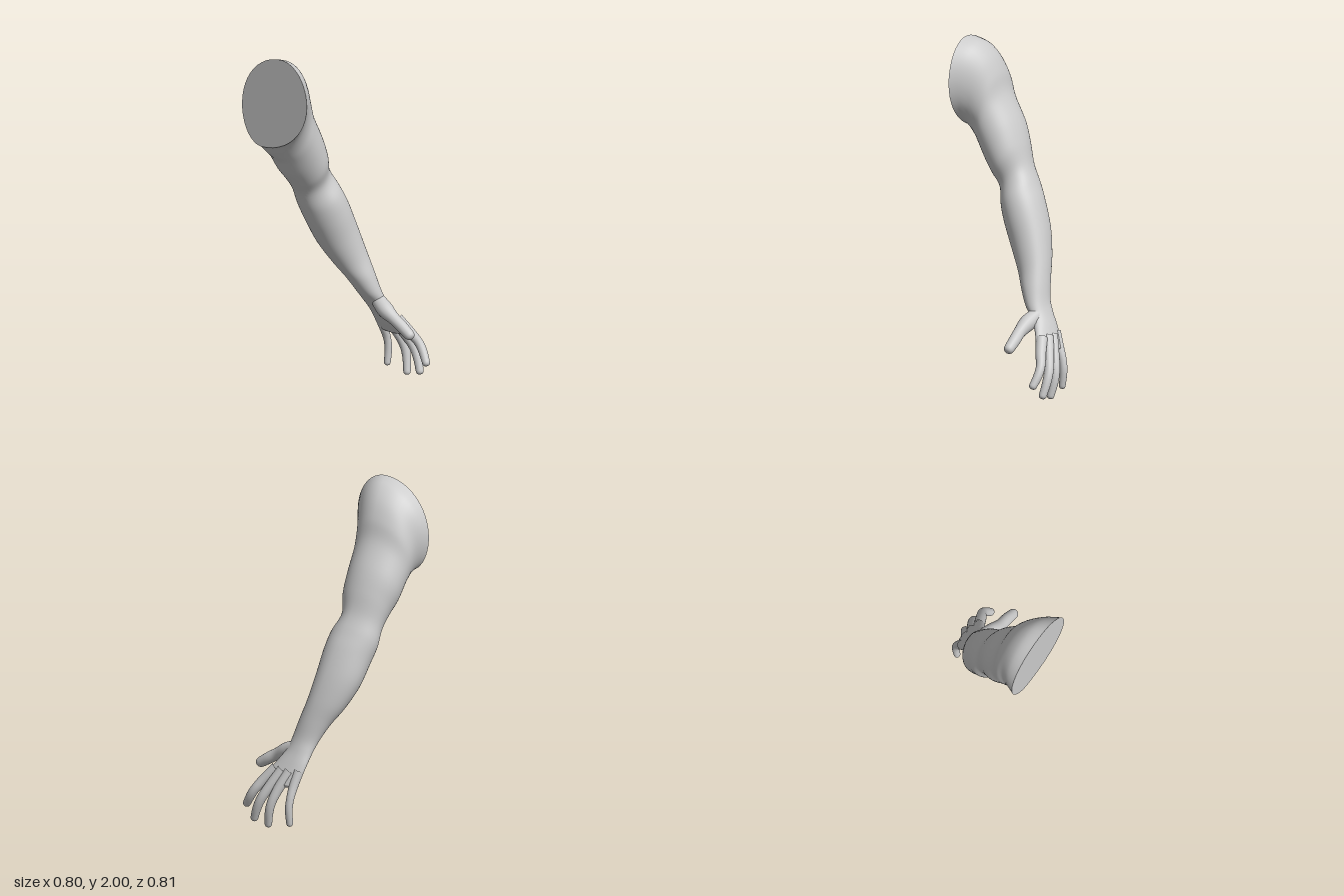
import * as THREE from 'three';

const SIDES = 48;
const skin = new THREE.MeshStandardMaterial({ color: 0xcccccc });

// Smooth interpolation through equally spaced rows of numbers
function sampleRows(rows, t) {
  const f = t * (rows.length - 1);
  const i = Math.min(Math.floor(f), rows.length - 2);
  const k = f - i;
  const row = (n) => rows[Math.max(0, Math.min(rows.length - 1, n))];
  return rows[i].map((p1, c) => {
    const p0 = row(i - 1)[c], p2 = row(i + 1)[c], p3 = row(i + 2)[c];
    return 0.5 * (2 * p1 + (p2 - p0) * k + (2 * p0 - 5 * p1 + 4 * p2 - p3) * k * k
      + (3 * p1 - p0 - 3 * p2 + p3) * k * k * k);
  });
}

// Skin a list of closed rings; the far end closes on a point
function loft(rings, tip) {
  const n = rings[0].length;
  const positions = rings.flat().concat(tip).flatMap((p) => [p.x, p.y, p.z]);
  const index = [];
  for (let r = 0; r < rings.length - 1; r++) {
    for (let i = 0; i < n; i++) {
      const j = (i + 1) % n, a = r * n, b = a + n;
      index.push(a + i, a + j, b + i, a + j, b + j, b + i);
    }
  }
  const last = (rings.length - 1) * n;
  for (let i = 0; i < n; i++) index.push(rings.length * n, last + i, last + (i + 1) % n);
  const geometry = new THREE.BufferGeometry();
  geometry.setAttribute('position', new THREE.Float32BufferAttribute(positions, 3));
  geometry.setIndex(index);
  geometry.computeVertexNormals();
  return geometry;
}

function addMesh(group, name, geometry) {
  const mesh = new THREE.Mesh(geometry, skin);
  mesh.name = name;
  group.add(mesh);
  return mesh;
}

// Cross-section: four quarter ellipses between the outer, front, inner and back extremes
function limbRing([xo, yo, xi, yi, zo, zi, zf, zb, uf, ub]) {
  const ring = [];
  for (let i = 0; i < SIDES; i++) {
    const a = (i / SIDES) * Math.PI * 2;
    const c = Math.cos(a), s = Math.sin(a);
    const wide = s >= 0 ? uf : ub;
    const u = c >= 0 ? wide * (1 - c) : wide - c * (1 - wide);
    const zEnd = c >= 0 ? zo : zi;
    const z = zEnd + ((s >= 0 ? zf : zb) - zEnd) * Math.abs(s);
    ring.push(new THREE.Vector3(xo + (xi - xo) * u, yo + (yi - yo) * u, z));
  }
  return ring;
}

// Tapered, round-tipped digit; each row is x, y, z, radius
function digit(rows) {
  const steps = 36, sides = 20, rings = [];
  const at = (t) => sampleRows(rows, t);
  const end = new THREE.Vector3(...at(1));
  const length = end.distanceTo(new THREE.Vector3(...at(0)));
  for (let s = 0; s < steps; s++) {
    const t = 1 - Math.pow(1 - s / steps, 1.6);
    const [x, y, z, r0] = at(t);
    const p = new THREE.Vector3(x, y, z);
    const dir = new THREE.Vector3(...at(Math.min(1, t + 0.01)))
      .sub(new THREE.Vector3(...at(Math.max(0, t - 0.01)))).normalize();
    const u = new THREE.Vector3(1, 0, 0).addScaledVector(dir, -dir.x).normalize();
    const v = new THREE.Vector3().crossVectors(dir, u);
    const left = Math.min(1, ((1 - t) * length) / (r0 * 1.2));
    const r = r0 * Math.sqrt(1 - (1 - left) ** 2);
    const ring = [];
    for (let i = 0; i < sides; i++) {
      const a = (i / sides) * Math.PI * 2;
      ring.push(p.clone().addScaledVector(u, r * Math.cos(a)).addScaledVector(v, r * Math.sin(a)));
    }
    rings.push(ring);
  }
  return loft(rings, end);
}

export function createModel() {
  const group = new THREE.Group();
  group.name = 'arm';

  // Sections from the shoulder cut to the knuckles:
  // outer x, y, inner x, y, outer z, inner z, front z, back z, front and back widest place
  const sections = [
    [-0.40, 2.00, -0.40, 1.45, -0.10, -0.25, 0.10, -0.40, 0.45, 0.58],
    [-0.32, 1.97, -0.385, 1.44, -0.12, -0.24, 0.065, -0.385, 0.45, 0.55],
    [-0.25, 1.90, -0.365, 1.41, -0.14, -0.22, 0.03, -0.365, 0.45, 0.52],
    [-0.20, 1.80, -0.34, 1.38, -0.15, -0.20, 0.01, -0.36, 0.48, 0.50],
    [-0.165, 1.68, -0.31, 1.345, -0.16, -0.18, 0.01, -0.35, 0.50, 0.50],
    [-0.085, 1.53, -0.27, 1.27, -0.16, -0.17, 0.01, -0.335, 0.50, 0.48],
    [-0.038, 1.41, -0.22, 1.20, -0.15, -0.15, 0.005, -0.305, 0.50, 0.48],
    [0.00, 1.28, -0.175, 1.13, -0.13, -0.14, -0.02, -0.28, 0.50, 0.48],
    [0.05, 1.18, -0.145, 1.03, -0.11, -0.11, 0.025, -0.275, 0.50, 0.48],
    [0.10, 1.08, -0.11, 0.93, -0.09, -0.09, 0.045, -0.25, 0.50, 0.47],
    [0.155, 0.93, -0.05, 0.80, -0.06, -0.06, 0.06, -0.215, 0.50, 0.45],
    [0.195, 0.78, 0.02, 0.68, -0.02, -0.01, 0.085, -0.15, 0.52, 0.45],
    [0.22, 0.65, 0.07, 0.595, 0.02, 0.04, 0.12, -0.08, 0.55, 0.45],
    [0.24, 0.54, 0.12, 0.51, 0.05, 0.08, 0.145, -0.03, 0.55, 0.45],
  ];
  const handSections = [
    [0.265, 0.47, 0.17, 0.445, 0.06, 0.09, 0.16, -0.01, 0.55, 0.45],
    [0.297, 0.40, 0.22, 0.38, 0.08, 0.12, 0.20, 0.00, 0.55, 0.45],
    [0.327, 0.33, 0.26, 0.305, 0.11, 0.14, 0.245, 0.015, 0.55, 0.45],
    [0.345, 0.275, 0.29, 0.255, 0.13, 0.14, 0.235, 0.03, 0.55, 0.45],
  ];
  const rows = sections.concat(handSections);
  const rings = [];
  for (let i = 0; i <= 102; i++) rings.push(limbRing(sampleRows(rows, i / 102)));
  addMesh(group, 'shoulderArmAndPalm', loft(rings, new THREE.Vector3(0.325, 0.25, 0.135)));

  // Flat cut face of the shoulder
  const cut = limbRing(sections[0]).reverse();
  addMesh(group, 'shoulderCut', loft([cut], new THREE.Vector3(-0.4, 1.73, -0.16)));

  // Thumb and four fingers, swelling slightly at the joints
  const digits = {
    thumb: [[0.21, 0.47, 0.10, 0.04], [0.185, 0.425, 0.185, 0.048], [0.178, 0.385, 0.26, 0.036],
      [0.18, 0.345, 0.325, 0.034], [0.178, 0.295, 0.40, 0.029]],
    indexFinger: [[0.285, 0.35, 0.19, 0.034], [0.318, 0.275, 0.255, 0.031], [0.345, 0.215, 0.30, 0.027],
      [0.347, 0.16, 0.335, 0.026], [0.33, 0.09, 0.378, 0.022]],
    middleFinger: [[0.295, 0.35, 0.14, 0.034], [0.335, 0.26, 0.195, 0.031], [0.364, 0.18, 0.24, 0.028],
      [0.368, 0.11, 0.272, 0.026], [0.355, 0.02, 0.305, 0.022]],
    ringFinger: [[0.295, 0.35, 0.09, 0.033], [0.335, 0.26, 0.135, 0.030], [0.364, 0.175, 0.168, 0.027],
      [0.368, 0.10, 0.188, 0.025], [0.35, 0.00, 0.207, 0.021]],
    littleFinger: [[0.285, 0.36, 0.035, 0.029], [0.318, 0.275, 0.05, 0.027], [0.345, 0.20, 0.056, 0.023],
      [0.353, 0.13, 0.06, 0.022], [0.342, 0.03, 0.06, 0.019]],
  };
  for (const [name, path] of Object.entries(digits)) addMesh(group, name, digit(path));

  return group;
}
